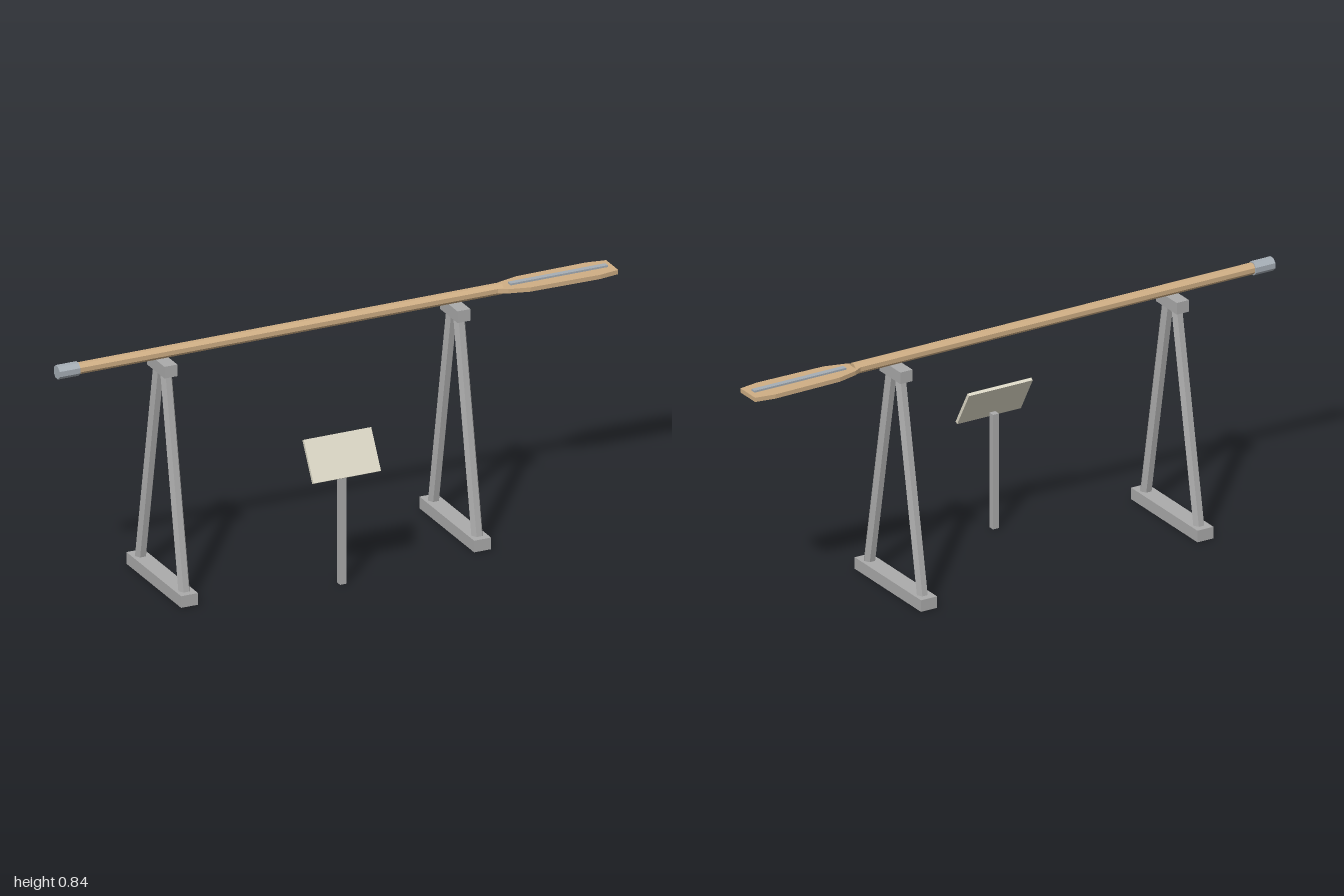
import * as THREE from 'three';

const paint = (name, color) => {
  const m = new THREE.MeshStandardMaterial({ color, flatShading: true });
  m.name = name;
  return m;
};

export function createModel() {
  const wood = paint('tanWood', 0xcfae84);
  const metal = paint('standGrey', 0xababab);
  const steel = paint('blueGrey', 0xa6aeb6);
  const cream = paint('creamPanel', 0xdcd8c6);

  const model = new THREE.Group();
  model.name = 'oarDisplay';
  const add = (parent, name, geometry, material, x = 0, y = 0, z = 0) => {
    const mesh = new THREE.Mesh(geometry, material);
    mesh.name = name;
    mesh.position.set(x, y, z);
    parent.add(mesh);
    return mesh;
  };

  // Oar: octagonal rods along x and a flat blade with a raised spine
  const oar = new THREE.Group();
  oar.name = 'oar';
  oar.position.set(0, 0.8165, -0.041);
  model.add(oar);
  const rod = (name, r, x0, x1, material) => {
    const g = new THREE.CylinderGeometry(r, r, x1 - x0, 8, 1, false, Math.PI / 8);
    add(oar, name, g.rotateZ(Math.PI / 2), material, (x0 + x1) / 2);
  };
  rod('shaft', 0.0198, -0.98, 0.6, wood);
  rod('grip', 0.024, -1, -0.925, steel);

  const edge = [[0.58, 0.018], [0.61, 0.034], [0.68, 0.052], [0.93, 0.0565], [1, 0.045]];
  const outline = [...edge, ...edge.map(([x, w]) => [x, -w]).reverse()];
  const shape = new THREE.Shape(outline.map(([x, w]) => new THREE.Vector2(x, w)));
  const blade = new THREE.ExtrudeGeometry(shape, { depth: 0.015, bevelEnabled: false });
  add(oar, 'blade', blade.translate(0, 0, -0.0075).rotateX(-Math.PI / 2), wood);
  add(oar, 'bladeSpine', new THREE.BoxGeometry(0.35, 0.012, 0.019), steel, 0.805, 0.008);

  // Two trestles: foot, splayed hexagonal legs and top block
  for (const x of [-0.62, 0.435]) {
    const trestle = new THREE.Group();
    trestle.name = 'trestle';
    trestle.position.set(x, 0, -0.041);
    model.add(trestle);
    add(trestle, 'foot', new THREE.BoxGeometry(0.061, 0.041, 0.407), metal, 0, 0.0205);
    add(trestle, 'topBlock', new THREE.BoxGeometry(0.046, 0.041, 0.129), metal, 0, 0.7735);
    for (const s of [-1, 1]) {
      const low = new THREE.Vector3(0, 0.03, s * 0.1635);
      const high = new THREE.Vector3(0, 0.765, s * 0.026);
      const length = low.distanceTo(high);
      const g = new THREE.CylinderGeometry(0.0203, 0.0203, length, 6, 1, false, Math.PI / 6);
      const leg = add(trestle, 'leg', g, metal);
      leg.position.copy(low).add(high).multiplyScalar(0.5);
      leg.rotation.x = Math.atan2(high.z - low.z, high.y - low.y);
    }
  }

  // Information sign: square post and tilted panel
  const sign = new THREE.Group();
  sign.name = 'sign';
  sign.position.set(-0.0925, 0, 0.204);
  model.add(sign);
  add(sign, 'post', new THREE.BoxGeometry(0.0225, 0.406, 0.0225), metal, 0, 0.203);
  const panel = add(sign, 'panel', new THREE.BoxGeometry(0.243, 0.146, 0.0115), cream, 0, 0.449);
  panel.rotation.x = -Math.PI / 6;

  return model;
}
